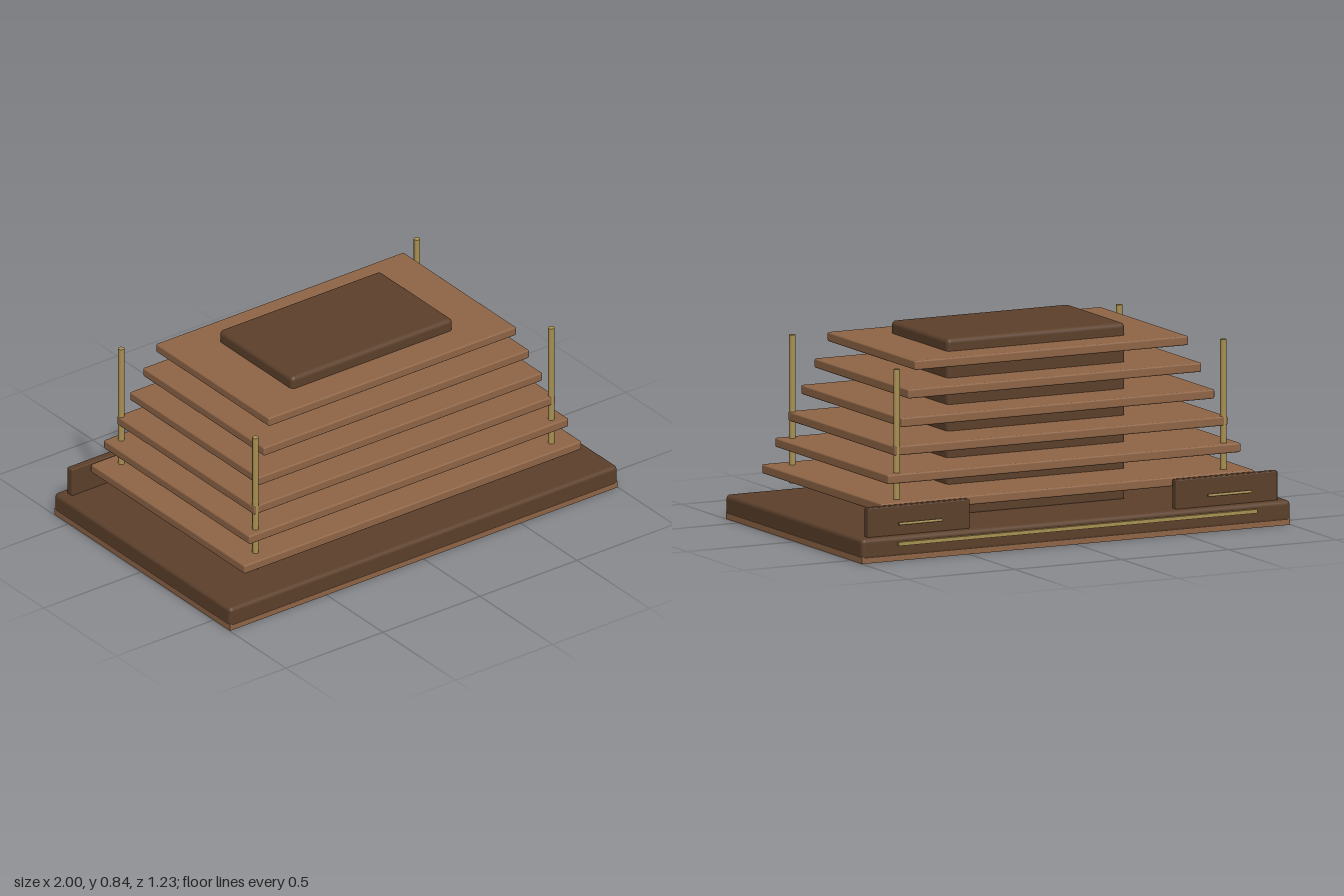
import * as THREE from 'three';
import { RoundedBoxGeometry } from 'three/addons/geometries/RoundedBoxGeometry.js';

export function createModel() {
  const model = new THREE.Group();
  model.name = 'tieredTower';

  const mat = (name, color) => {
    const m = new THREE.MeshStandardMaterial({ color });
    m.name = name;
    return m;
  };
  const darkWood = mat('dark wood', 0x5c402b);
  const lightWood = mat('light wood', 0x8f6546);
  const brass = mat('brass', 0xa89052);

  const add = (name, geometry, material, x, y, z) => {
    const mesh = new THREE.Mesh(geometry, material);
    mesh.name = name;
    mesh.position.set(x, y, z);
    model.add(mesh);
    return mesh;
  };
  // Softened box given by its size, bottom and centre
  const block = (name, w, h, d, r, material, x, y0, z) =>
    add(name, new RoundedBoxGeometry(w, h, d, 3, r), material, x, y0 + h / 2, z);

  const cz = 0.008; // centre of the tower in depth

  // Base: pale skirting under a dark plinth
  add('baseSkirting', new THREE.BoxGeometry(1.996, 0.03, 1.21), lightWood, 0, 0.015, cz);
  block('basePlinth', 2, 0.089, 1.216, 0.018, darkWood, 0, 0.014, cz);

  // Central core
  block('core', 0.832, 0.75, 0.508, 0.02, darkWood, 0, 0.09, cz);

  // Six floor slabs, shrinking upwards
  for (let i = 0; i < 6; i++) {
    const w = 2 * (0.869 - 0.0462 * i);
    const d = 2 * (0.531 - 0.0282 * i);
    block('floorSlab' + (i + 1), w, 0.039, d, 0.007, lightWood, 0, 0.191 + 0.1115 * i, cz + 0.001);
  }

  for (const side of [-1, 1]) {
    // Corner posts
    for (const z of [-0.453, 0.472]) {
      add('cornerPost', new THREE.CylinderGeometry(0.0135, 0.0135, 0.622, 16), brass, side * 0.762, 0.464, z);
    }
    // Rear panel with its thin brass rod
    block('rearPanel', 0.475, 0.13, 0.033, 0.005, darkWood, side * 0.718, 0.095, -0.551);
    const rod = add('panelRod', new THREE.CylinderGeometry(0.006, 0.006, 0.2, 10), brass, side * 0.721, 0.152, -0.587);
    rod.rotation.z = Math.PI / 2;
  }

  // Long brass strip along the back of the base
  add('rearStrip', new THREE.BoxGeometry(1.672, 0.016, 0.014), brass, 0, 0.073, -0.609);

  return model;
}
